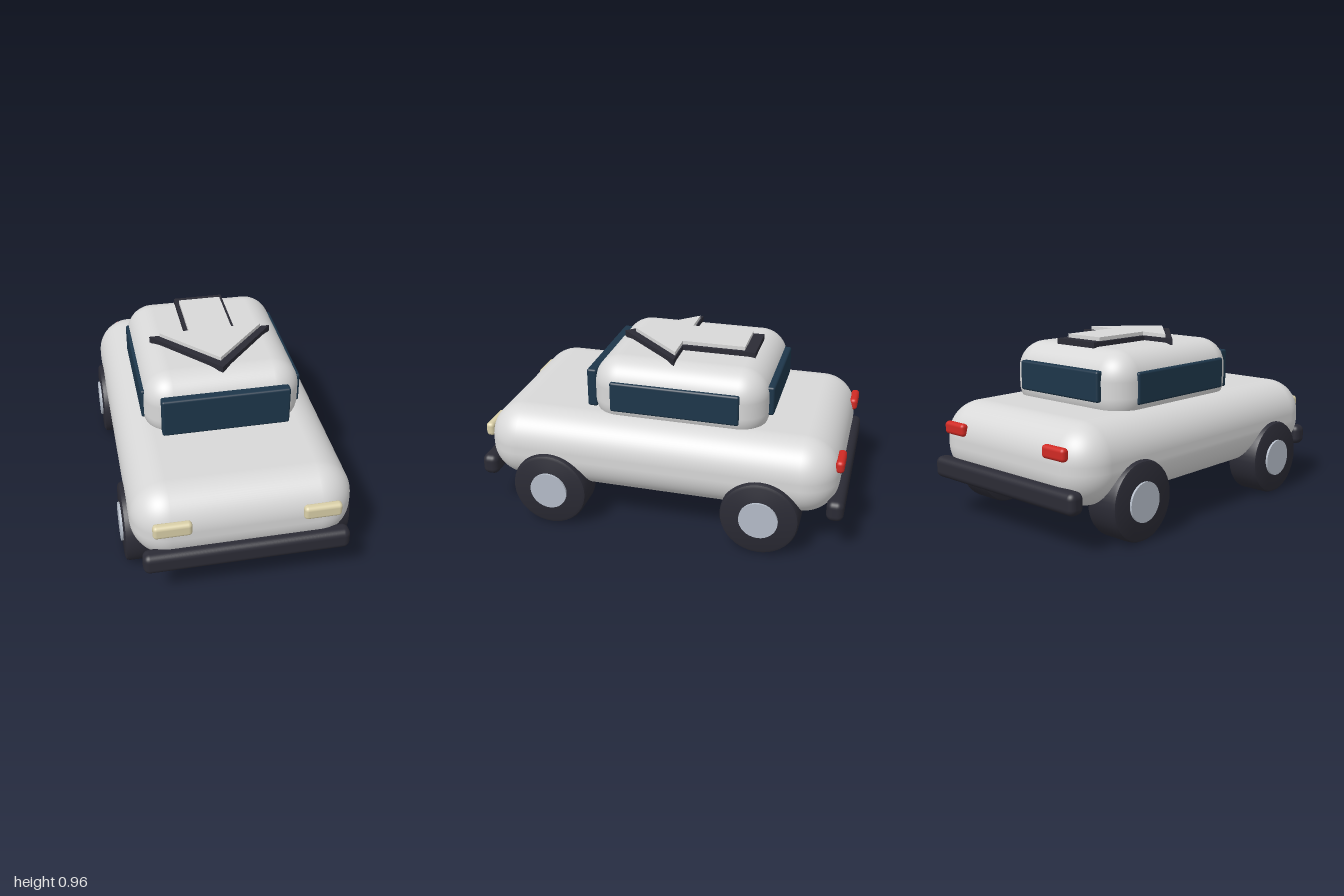
import * as THREE from 'three';
import { RoundedBoxGeometry } from 'three/addons/geometries/RoundedBoxGeometry.js';
import { toCreasedNormals } from 'three/addons/utils/BufferGeometryUtils.js';

const material = (name, color) => {
  const m = new THREE.MeshStandardMaterial({ color });
  m.name = name;
  return m;
};

export function createModel() {
  const car = new THREE.Group();
  car.name = 'car';
  const paint = material('pale grey paint', 0xd8d8d8);
  const rubber = material('dark rubber', 0x2b2b35);
  const glass = material('blue glass', 0x1d364a);
  const cream = material('cream lamp', 0xd9cfa8);
  const red = material('red lamp', 0xd02a24);
  const metal = material('hub metal', 0xb4bcc8);

  const add = (name, geometry, mat, parent = car) => {
    const mesh = new THREE.Mesh(geometry, mat);
    mesh.name = name;
    parent.add(mesh);
    return mesh;
  };
  // Rounded box given by its limits on each axis
  const block = (name, mat, [x0, x1], [y0, y1], [z0, z1], radius, segments = 4) => {
    const geo = new RoundedBoxGeometry(x1 - x0, y1 - y0, z1 - z0, segments, radius);
    geo.translate((x0 + x1) / 2, (y0 + y1) / 2, (z0 + z1) / 2);
    return add(name, geo, mat);
  };

  // Body and cabin
  block('body', paint, [-0.57, 0.57], [0.2, 0.62], [-0.96, 0.96], 0.19, 10);
  block('cabin', paint, [-0.42, 0.42], [0.53, 0.915], [-0.56, 0.39], 0.15, 10);

  // Windows
  block('windshield', glass, [-0.34, 0.34], [0.62, 0.835], [0.37, 0.425], 0.012);
  block('rearWindow', glass, [-0.29, 0.29], [0.66, 0.82], [-0.585, -0.53], 0.012);

  // Bumpers
  block('frontBumper', rubber, [-0.53, 0.53], [0.21, 0.325], [0.91, 1], 0.035);
  block('rearBumper', rubber, [-0.53, 0.53], [0.21, 0.325], [-1, -0.91], 0.035);

  // Tyre profile with softened edges, and a hub that shows on both faces
  const tyreProfile = [
    [0, -0.095], [0.188, -0.095], [0.202, -0.089], [0.208, -0.075],
    [0.208, 0.075], [0.202, 0.089], [0.188, 0.095], [0, 0.095],
  ].map(([r, h]) => new THREE.Vector2(r, h));
  const tyre = toCreasedNormals(new THREE.LatheGeometry(tyreProfile, 40), 0.6).rotateZ(Math.PI / 2);
  const hub = new THREE.CylinderGeometry(0.103, 0.103, 0.214, 32).rotateZ(Math.PI / 2);

  // Mirrored parts
  for (const side of [-1, 1]) {
    const label = side > 0 ? 'left' : 'right';
    const span = (a, b) => (side > 0 ? [a, b] : [-b, -a]);
    block(label + 'SideWindow', glass, span(0.39, 0.43), [0.645, 0.812], [-0.425, 0.27], 0.012);
    block(label + 'Headlight', cream, span(0.28, 0.475), [0.427, 0.503], [0.935, 0.983], 0.02);
    block(label + 'TailLight', red, span(0.3, 0.455), [0.457, 0.525], [-0.98, -0.935], 0.02);

    for (const end of [-1, 1]) {
      const wheel = new THREE.Group();
      wheel.name = label + (end > 0 ? 'FrontWheel' : 'RearWheel');
      wheel.position.set(side * 0.503, 0.21, end * 0.576);
      add('tyre', tyre, rubber, wheel);
      add('hub', hub, metal, wheel);
      car.add(wheel);
    }
  }

  // Roof arrow pointing forward: a dark base with a paler layer on top
  const arrow = (name, mat, shaft, head, tail, shoulder, tip, bottom, top) => {
    const half = [[shaft, tail], [shaft, shoulder], [head, shoulder]];
    const points = [...half, [0, tip], ...half.map(([x, z]) => [-x, z]).reverse()];
    const shape = new THREE.Shape(points.map(([x, z]) => new THREE.Vector2(x, z)));
    const geo = new THREE.ExtrudeGeometry(shape, { depth: top - bottom, bevelEnabled: false });
    add(name, geo.rotateX(Math.PI / 2).translate(0, top, 0), mat);
  };
  arrow('arrowBase', rubber, 0.138, 0.335, -0.45, -0.057, 0.312, 0.905, 0.94);
  arrow('arrowTop', paint, 0.118, 0.28, -0.39, -0.05, 0.25, 0.935, 0.96);

  return car;
}
